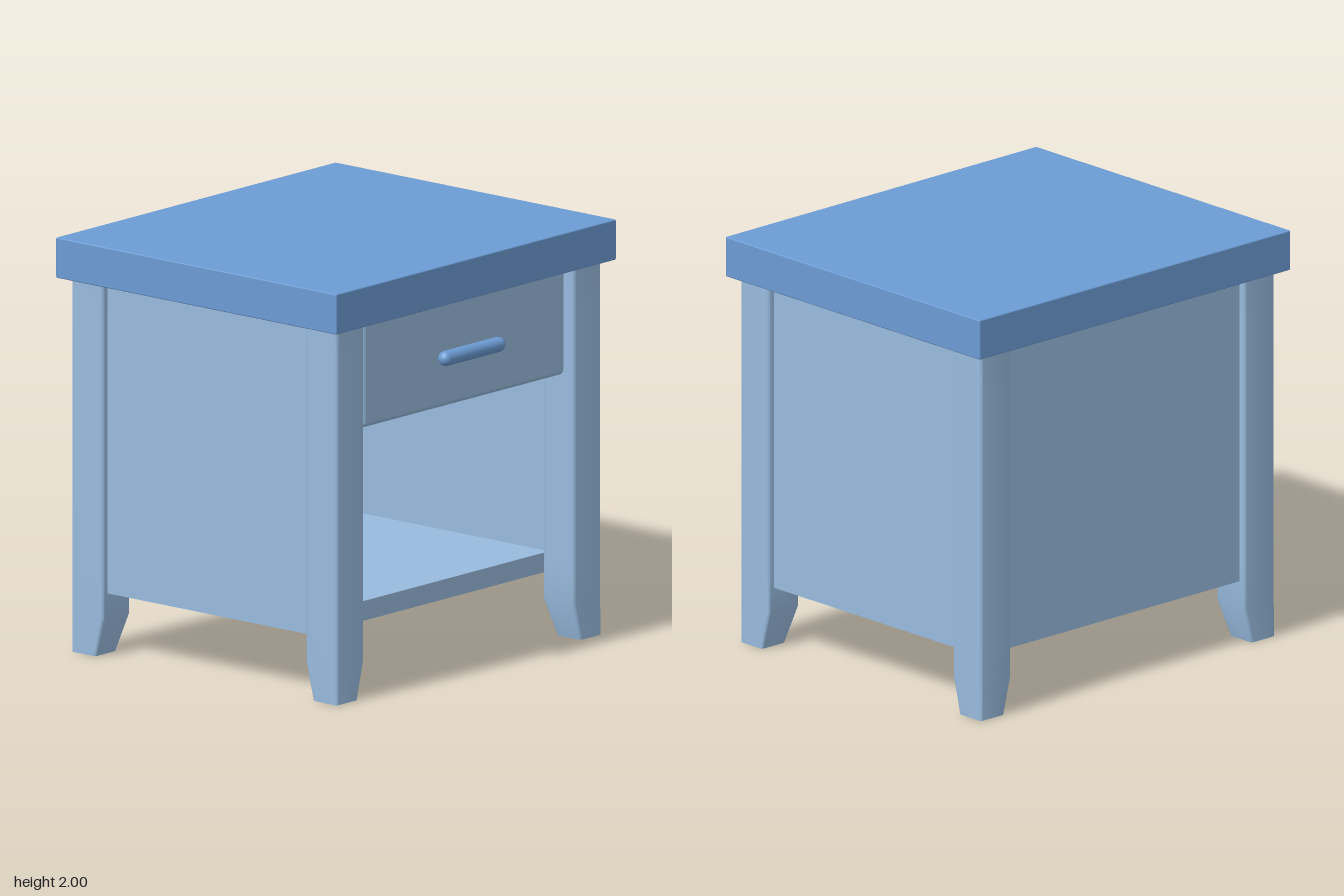
import * as THREE from 'three';
import { toCreasedNormals } from 'three/addons/utils/BufferGeometryUtils.js';
import { RoundedBoxGeometry } from 'three/addons/geometries/RoundedBoxGeometry.js';

const topBlue = new THREE.MeshStandardMaterial({ color: 0x6c9cd4 });
topBlue.name = 'mid blue';
const bodyBlue = new THREE.MeshStandardMaterial({ color: 0x98bbde });
bodyBlue.name = 'pale blue';

function add(group, name, geometry, material) {
  const mesh = new THREE.Mesh(geometry, material);
  mesh.name = name;
  group.add(mesh);
  return mesh;
}

// Board given by its low and high corner; a radius rounds its edges
function board(group, name, [x0, y0, z0], [x1, y1, z1], material, radius = 0) {
  const size = [x1 - x0, y1 - y0, z1 - z0];
  const geometry = radius
    ? new RoundedBoxGeometry(...size, 2, radius)
    : new THREE.BoxGeometry(...size);
  const mesh = add(group, name, geometry, material);
  mesh.position.set((x0 + x1) / 2, (y0 + y1) / 2, (z0 + z1) / 2);
  return mesh;
}

// Square leg with softened edges; its two inner faces taper at the foot
function legGeometry(sx, sz) {
  const w = 0.195, r = 0.015, height = 1.81, taper = 0.18;
  const s = new THREE.Shape();
  s.moveTo(r, 0);
  s.lineTo(w - r, 0);
  s.quadraticCurveTo(w, 0, w, r);
  s.lineTo(w, w - r);
  s.quadraticCurveTo(w, w, w - r, w);
  s.lineTo(r, w);
  s.quadraticCurveTo(0, w, 0, w - r);
  s.lineTo(0, r);
  s.quadraticCurveTo(0, 0, r, 0);
  const g = new THREE.ExtrudeGeometry(s, { depth: height, steps: 10, bevelEnabled: false, curveSegments: 3 });
  g.rotateX(-Math.PI / 2);
  g.translate(-w / 2, 0, w / 2);
  const p = g.attributes.position;
  for (let i = 0; i < p.count; i++) {
    const k = 1 - 0.24 * Math.max(0, 1 - p.getY(i) / taper);
    const x = sx * w / 2, z = sz * w / 2;
    p.setX(i, x + (p.getX(i) - x) * k);
    p.setZ(i, z + (p.getZ(i) - z) * k);
  }
  return toCreasedNormals(g, 0.6);
}

export function createModel() {
  const group = new THREE.Group();
  group.name = 'nightstand';

  // Top
  board(group, 'tableTop', [-1, 1.805, -0.875], [1, 2, 0.87], topBlue, 0.006);

  // Legs
  for (const sx of [-1, 1]) for (const sz of [-1, 1]) {
    const name = (sz > 0 ? 'front' : 'back') + (sx > 0 ? 'Left' : 'Right') + 'Leg';
    add(group, name, legGeometry(sx, sz), bodyBlue).position.set(sx * 0.8475, 0, sz * 0.7275);
  }

  // Cabinet body, open below the drawer
  board(group, 'cabinetFloor', [-0.91, 0.305, -0.79], [0.91, 0.4, 0.635], bodyBlue);
  board(group, 'leftPanel', [0.79, 0.4, -0.79], [0.91, 1.8, 0.635], bodyBlue);
  board(group, 'rightPanel', [-0.91, 0.4, -0.79], [-0.79, 1.8, 0.635], bodyBlue);
  board(group, 'backPanel', [-0.79, 0.4, -0.79], [0.79, 1.8, -0.57], bodyBlue);
  board(group, 'drawerCase', [-0.79, 1.28, -0.57], [0.79, 1.8, 0.635], bodyBlue);

  // Drawer with its bar handle
  board(group, 'drawerFront', [-0.723, 1.29, 0.6], [0.723, 1.805, 0.795], bodyBlue, 0.025);
  const handle = add(group, 'drawerHandle', new THREE.CapsuleGeometry(0.036, 0.373, 6, 16), topBlue);
  handle.rotation.z = Math.PI / 2;
  handle.position.set(0, 1.54, 0.842);
  for (const x of [-0.14, 0.14]) {
    board(group, 'handlePost', [x - 0.02, 1.52, 0.78], [x + 0.02, 1.56, 0.84], topBlue);
  }
  return group;
}
